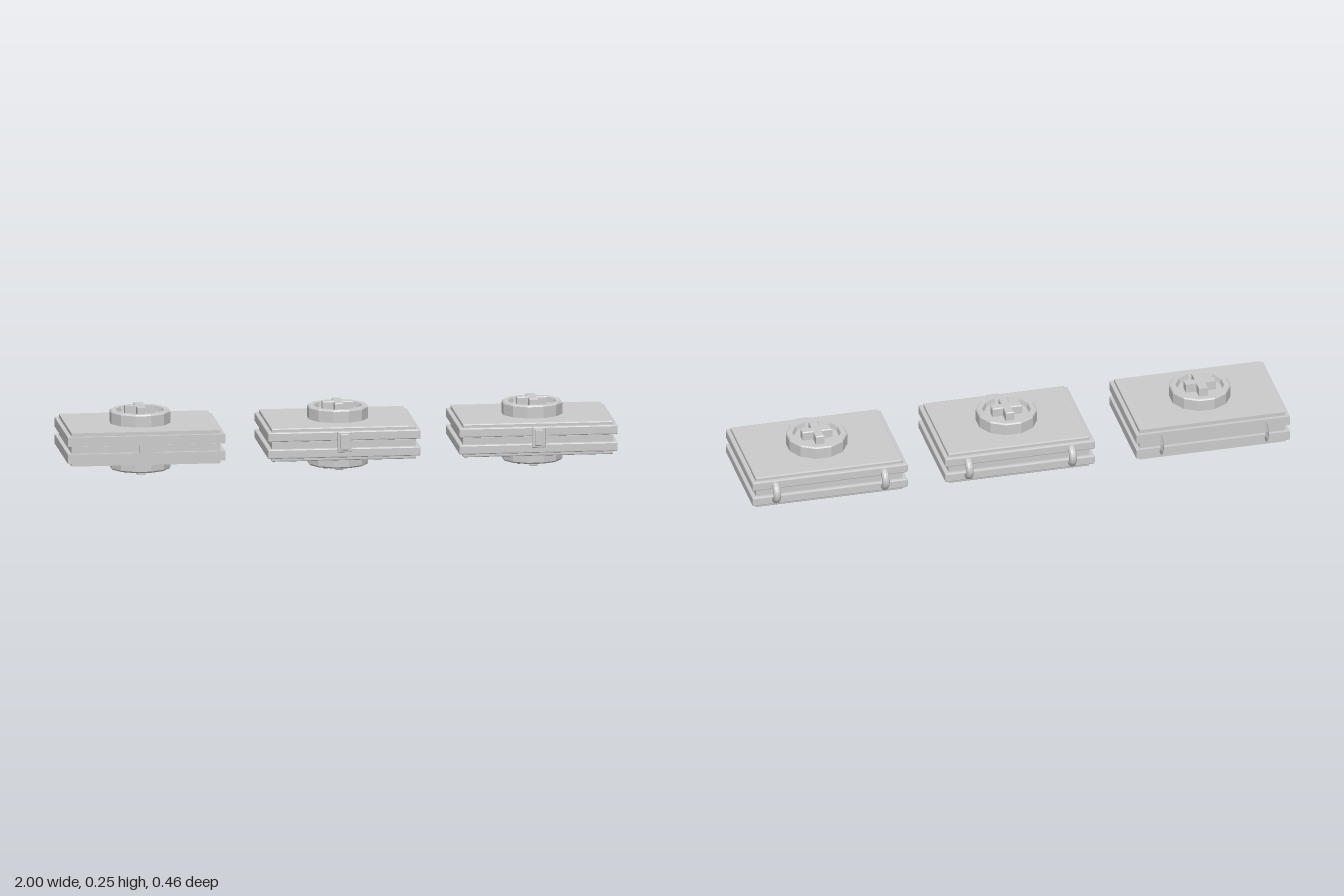
import * as THREE from 'three';
import { RoundedBoxGeometry } from 'three/addons/geometries/RoundedBoxGeometry.js';

const material = new THREE.MeshStandardMaterial({ color: 0xcccccc, flatShading: true });
const MID_Y = 0.123, MID_Z = 0.011;

function add(parent, name, geometry, x = 0, y = 0, z = 0) {
  const mesh = new THREE.Mesh(geometry, material);
  mesh.name = name;
  mesh.position.set(x, y, z);
  parent.add(mesh);
  return mesh;
}

// Plain block, or one with softened edges
function block(w, h, d, bevel) {
  return bevel ? new RoundedBoxGeometry(w, h, d, 1, bevel) : new THREE.BoxGeometry(w, h, d);
}

// Twelve-sided dial with a raised rim and a sunken face
function dialGeometry() {
  const profile = [[0.111, 0.055], [0.111, 0.102], [0.107, 0.107], [0.088, 0.107], [0.083, 0.09], [0, 0.09]];
  return new THREE.LatheGeometry(profile.map(([r, y]) => new THREE.Vector2(r, y)), 12, Math.PI / 12);
}

// Upright plus sign lying on the dial
function crossGeometry(bevel) {
  const a = 0.056 - bevel, b = 0.016 - bevel;
  const corners = [[b, b], [b, a], [-b, a], [-b, b], [-a, b], [-a, -b],
    [-b, -b], [-b, -a], [b, -a], [b, -b], [a, -b], [a, b]];
  const shape = new THREE.Shape(corners.map(([x, y]) => new THREE.Vector2(x, y)));
  const geometry = new THREE.ExtrudeGeometry(shape, {
    depth: 0.038 - bevel, bevelEnabled: bevel > 0, bevelSize: bevel, bevelThickness: bevel, bevelSegments: 1,
  });
  return geometry.rotateX(-Math.PI / 2);
}

// One half of the case, built upward from the middle plane
function half(width, bevel) {
  const group = new THREE.Group();
  group.name = 'caseHalf';
  add(group, 'slab', block(width, 0.034, 0.405, bevel), 0, 0.031);
  add(group, 'coverPlate', block(width - 0.03, 0.03, 0.378, bevel), 0, 0.046);
  add(group, 'dial', dialGeometry());
  add(group, 'dialCross', crossGeometry(bevel * 0.8), 0, 0.085);
  return group;
}

function createCase(name, x, width, hingeOffset, simple) {
  const group = new THREE.Group();
  group.name = name;
  group.position.set(x, MID_Y, MID_Z);
  const bevel = simple ? 0 : 0.004;

  const top = half(width, bevel);
  const bottom = half(width, bevel);
  bottom.rotation.x = Math.PI;
  group.add(top, bottom);
  add(group, 'core', block(width - 0.03, 0.026, 0.378, 0), 0, -0.002);

  // Front clasp bridging the two slabs
  add(group, 'clasp', block(0.05, 0.076, simple ? 0.012 : 0.014, bevel), 0, 0.011, simple ? 0.204 : 0.208);
  if (!simple) add(group, 'claspCatch', block(0.03, 0.06, 0.01, 0.003), 0, 0.011, 0.214);

  // Two curved hinges at the back
  for (const side of [-1, 1]) {
    const ring = new THREE.TorusGeometry(0.03, 0.014, simple ? 4 : 10, simple ? 5 : 14, Math.PI);
    ring.rotateZ(Math.PI / 2).rotateY(-Math.PI / 2);
    if (simple) ring.scale(0.45, 1, 1);
    add(group, 'hinge', ring, side * hingeOffset, 0, -0.195);
  }
  return group;
}

export function createModel() {
  const model = new THREE.Group();
  model.name = 'threeCases';
  model.add(
    createCase('simpleCase', -0.714, 0.572, 0.195, true),
    createCase('middleCase', 0.005, 0.555, 0.192, false),
    createCase('largeCase', 0.711, 0.576, 0.202, false),
  );
  return model;
}
